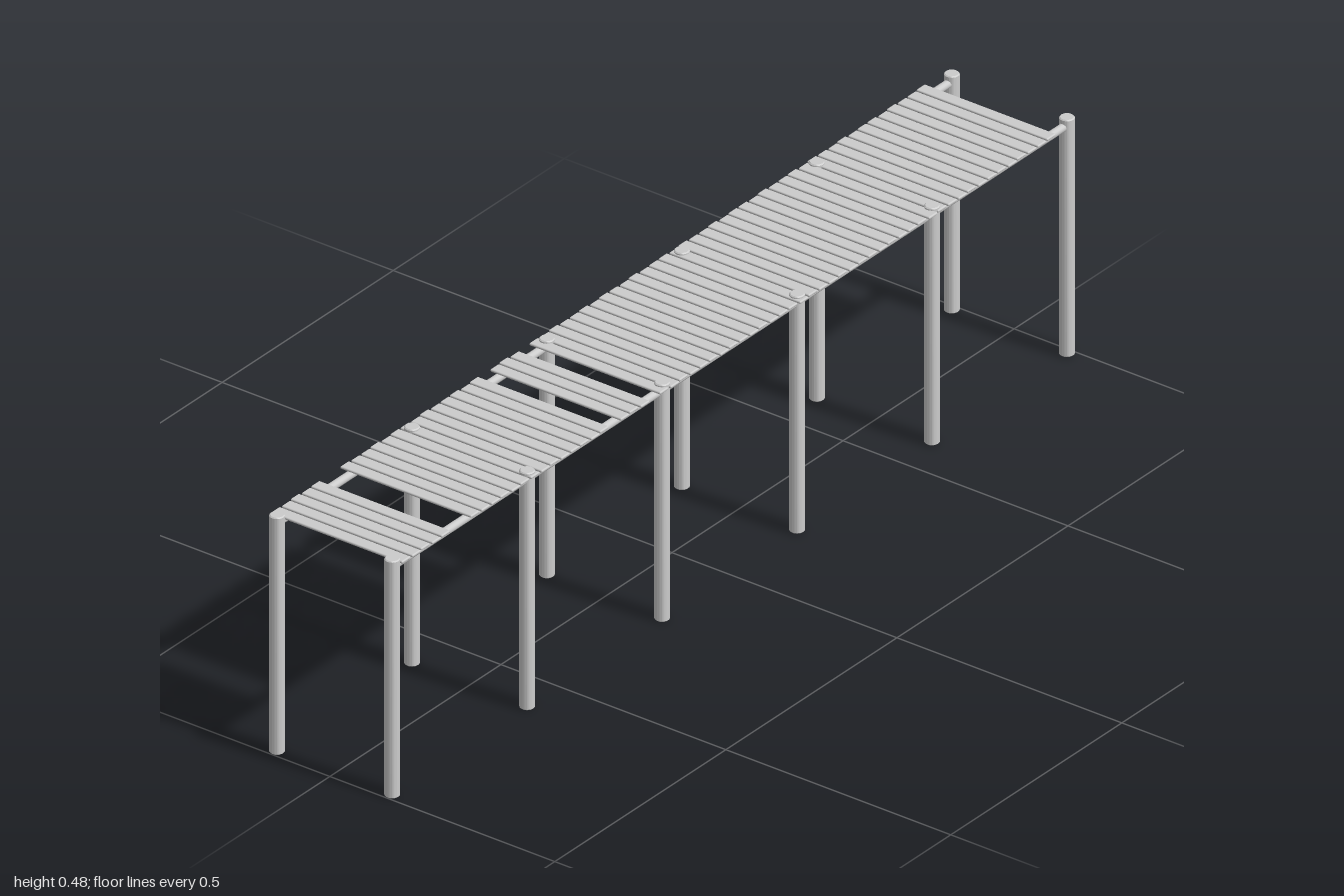
import * as THREE from 'three';
import { RoundedBoxGeometry } from 'three/addons/geometries/RoundedBoxGeometry.js';
import { toCreasedNormals } from 'three/addons/utils/BufferGeometryUtils.js';

const POST_X = 0.128, POST_R = 0.0142, POST_H = 0.484;
const POST_Z = 0.986; // outermost pair of posts
const SLOTS = 66, FRONT = 0.982, BACK = -0.934; // plank slots along the deck
const MISSING = [5, 6, 21, 25]; // slots without a plank, counted from the front

export function createModel() {
  const model = new THREE.Group();
  model.name = 'pier';
  const material = new THREE.MeshStandardMaterial({ color: 0xcccccc });

  const add = (name, geometry, x, y, z) => {
    const mesh = new THREE.Mesh(geometry, material);
    mesh.name = name;
    mesh.position.set(x, y, z);
    model.add(mesh);
    return mesh;
  };

  // Round posts with slightly chamfered ends, in six pairs
  const c = 0.002;
  const profile = [
    [0, 0], [POST_R - c, 0], [POST_R, c],
    [POST_R, POST_H - c], [POST_R - c, POST_H], [0, POST_H],
  ].map(([r, y]) => new THREE.Vector2(r, y));
  const postGeometry = toCreasedNormals(new THREE.LatheGeometry(profile, 20), 0.6);

  // Round rails running the full length under the planks
  const railGeometry = new THREE.CylinderGeometry(0.008, 0.008, POST_Z * 2, 14);
  railGeometry.rotateX(Math.PI / 2);

  for (const side of [-1, 1]) {
    for (let i = 0; i < 6; i++) {
      add('post', postGeometry, side * POST_X, 0, POST_Z - (i * POST_Z * 2) / 5);
    }
    add('rail', railGeometry, side * POST_X, 0.467, 0);
  }

  // Thin deck planks with rounded edges, leaving gaps where some are missing
  const pitch = (FRONT - BACK) / SLOTS;
  const plankGeometry = new RoundedBoxGeometry(0.292, 0.0055, pitch - 0.004, 2, 0.0026);
  for (let i = 0; i < SLOTS; i++) {
    if (MISSING.includes(i)) continue;
    const shift = 0.0015 * Math.sin(i * 2.4); // uneven plank ends
    add('plank', plankGeometry, shift, 0.477, FRONT - (i + 0.5) * pitch);
  }

  return model;
}
